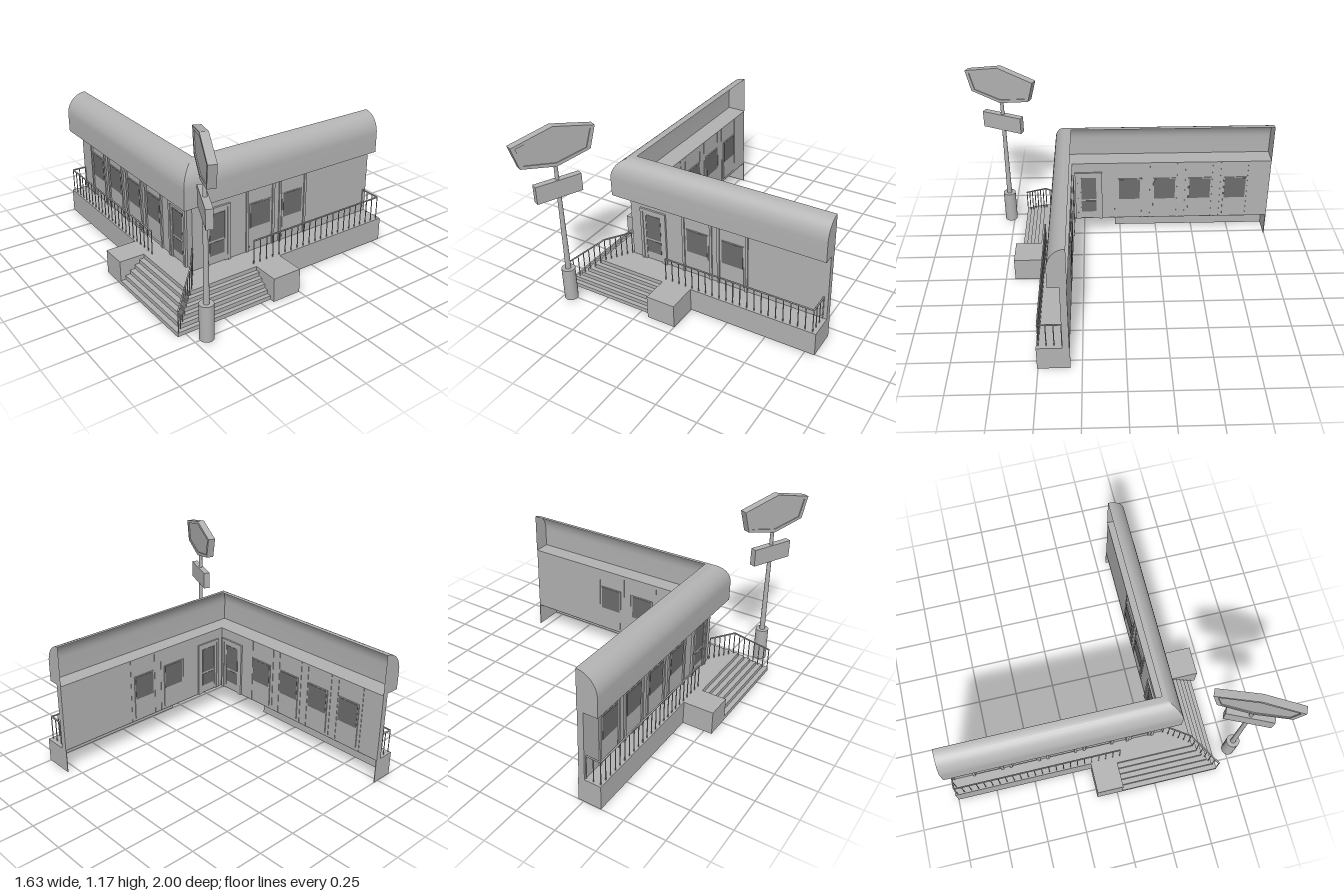
import * as THREE from 'three';
import { toCreasedNormals } from 'three/addons/utils/BufferGeometryUtils.js';

const body = new THREE.MeshStandardMaterial({ color: 0xb2b2b2, side: THREE.DoubleSide });
body.name = 'light grey';
const dark = new THREE.MeshStandardMaterial({ color: 0x6c6c6c, side: THREE.DoubleSide });
dark.name = 'dark glass';

function add(parent, name, geo, mat = body) {
  const m = new THREE.Mesh(geo, mat);
  m.name = name;
  parent.add(m);
  return m;
}

// Box given by its limits; the bottom can be left open
function box(parent, name, x0, x1, y0, y1, z0, z1, mat = body, open = false) {
  const g = new THREE.BoxGeometry(x1 - x0, y1 - y0, z1 - z0);
  if (open) g.setIndex([...g.index.array].filter((_, i) => i < 18 || i > 23));
  g.translate((x0 + x1) / 2, (y0 + y1) / 2, (z0 + z1) / 2);
  return add(parent, name, g, mat);
}

// Round bar between two points
function rod(parent, name, a, b, r) {
  const p = new THREE.Vector3(...a), q = new THREE.Vector3(...b);
  const d = q.clone().sub(p);
  const m = add(parent, name, new THREE.CylinderGeometry(r, r, d.length(), 6));
  m.position.copy(p).add(q).multiplyScalar(0.5);
  m.quaternion.setFromUnitVectors(new THREE.Vector3(0, 1, 0), d.normalize());
}

// Sweep a profile of [x, y, z] corner points along both wings, mitred at the corner
function sweep(parent, name, profile, zEnd, xEnd, capped) {
  const v = [];
  const rows = profile.map(([x, y, z]) => [[x, y, zEnd], [x, y, z], [xEnd, y, z]]);
  for (let i = 0; i + 1 < rows.length; i++) {
    const p = rows[i], q = rows[i + 1];
    for (let k = 0; k < 2; k++) v.push(p[k], p[k + 1], q[k + 1], p[k], q[k + 1], q[k]);
  }
  if (capped) {
    for (let i = 1; i + 1 < rows.length; i++) {
      v.push(rows[0][0], rows[i][0], rows[i + 1][0]);
      v.push(rows[0][2], rows[i + 1][2], rows[i][2]);
    }
  }
  const g = new THREE.BufferGeometry();
  g.setAttribute('position', new THREE.Float32BufferAttribute(v.flat(), 3));
  add(parent, name, toCreasedNormals(g, 0.5));
}

function polygon(pts) {
  return new THREE.Shape(pts.map(([x, y]) => new THREE.Vector2(x, y)));
}

function slab(shape, depth) {
  const g = new THREE.ExtrudeGeometry(shape, { depth, bevelEnabled: false });
  return g.translate(0, 0, -depth / 2);
}

// Surround with two posts and a head, open at the floor
function surround(parent, name, w, y0, y1, t, depth) {
  const a = w / 2, b = a - t;
  add(parent, name, slab(polygon([[-a, y0], [-b, y0], [-b, y1 - t], [b, y1 - t], [b, y0], [a, y0], [a, y1], [-a, y1]]), depth));
}

function windowBay(parent, x, w) {
  const g = new THREE.Group();
  g.name = 'windowBay';
  g.position.x = x;
  parent.add(g);
  for (const s of [-1, 1]) box(g, 'bayPost', s * (w / 2 - 0.008) - 0.008, s * (w / 2 - 0.008) + 0.008, 0.15, 0.58, -0.022, 0.027);
  box(g, 'windowPanel', -0.076, 0.076, 0.17, 0.46, -0.025, 0.022);
  box(g, 'windowGlass', -0.07, 0.07, 0.303, 0.455, -0.027, 0.024, dark);
}

function door(parent, x) {
  const g = new THREE.Group();
  g.name = 'door';
  g.position.x = x;
  parent.add(g);
  surround(g, 'doorSurround', 0.18, 0.15, 0.512, 0.018, 0.062);
  surround(g, 'doorFrame', 0.144, 0.15, 0.494, 0.018, 0.052);
  box(g, 'doorLeaf', -0.054, 0.054, 0.155, 0.476, -0.022, 0.022);
  for (const [a, b] of [[0.205, 0.29], [0.303, 0.47]]) box(g, 'doorGlass', -0.05, 0.05, a, b, -0.024, 0.024, dark);
}

// Handrail along a path with balusters standing on the given floor heights
function railing(parent, path, floors, pitch) {
  const g = new THREE.Group();
  g.name = 'railing';
  parent.add(g);
  for (let i = 0; i + 1 < path.length; i++) {
    const a = new THREE.Vector3(...path[i]), b = new THREE.Vector3(...path[i + 1]);
    rod(g, 'handrail', a.toArray(), b.toArray(), 0.005);
    const n = Math.max(1, Math.round(Math.hypot(b.x - a.x, b.z - a.z) / pitch));
    for (let k = 0; k <= n; k++) {
      const p = a.clone().lerp(b, k / n);
      const f = floors[i] + (floors[i + 1] - floors[i]) * k / n;
      if (p.y - f > 0.02) rod(g, 'baluster', [p.x, f, p.z], p.toArray(), 0.003);
    }
  }
}

export function createModel() {
  const root = new THREE.Group();
  root.name = 'cornerDiner';

  // Curved roof shell, open at the back
  const roof = [[-0.468, 0.58, 0.316], [-0.595, 0.58, 0.422]];
  for (let i = 0; i <= 12; i++) {
    const t = (i / 12) * Math.PI / 2;
    roof.push([-0.468 - 0.127 * Math.cos(t), 0.7 + 0.13 * Math.sin(t), 0.316 + 0.106 * Math.cos(t)]);
  }
  sweep(root, 'roof', roof, -1, 0.81, true);

  // Walls of both wings
  sweep(root, 'walls', [[-0.471, 0.15, 0.319], [-0.508, 0.15, 0.358], [-0.508, 0.58, 0.358],
    [-0.471, 0.58, 0.319], [-0.471, 0.15, 0.319]], -1, 0.81, true);

  // Doors and windows
  const front = new THREE.Group();
  front.name = 'frontWing';
  front.position.z = 0.339;
  const side = new THREE.Group();
  side.name = 'sideWing';
  side.position.x = -0.49;
  side.rotation.y = -Math.PI / 2;
  root.add(front, side);
  door(front, -0.345);
  for (const x of [-0.0375, 0.2025]) windowBay(front, x, 0.205);
  door(side, 0.212);
  for (let i = 0; i < 4; i++) windowBay(side, -0.06 - 0.236 * i, 0.197);

  // Terrace: floor, skirts and end walls, open underneath
  sweep(root, 'terraceFloor', [[-0.61, 0.15, 0.505], [-0.468, 0.15, 0.316]], -1, 0.81, false);
  box(root, 'frontSkirt', -0.185, 0.81, 0, 0.15, 0.501, 0.505);
  box(root, 'sideSkirt', -0.61, -0.606, 0, 0.15, -1, 0.035);
  box(root, 'frontEndWall', 0.806, 0.81, 0, 0.15, 0.316, 0.505);
  box(root, 'sideEndWall', -0.61, -0.468, 0, 0.15, -1, -0.996);
  box(root, 'frontPedestal', -0.185, 0, 0, 0.15, 0.505, 0.69, body, true);
  box(root, 'sidePedestal', -0.8, -0.61, 0, 0.15, -0.13, 0.035, body, true);

  // Corner steps
  const steps = [];
  for (let i = 0; i < 6; i++) {
    const x = -0.8 + 0.0315 * i, z = 0.66 - 0.027 * i;
    steps.push([x, i * 0.025, z], [x, (i + 1) * 0.025, z]);
  }
  steps.push([-0.61, 0.15, 0.505]);
  sweep(root, 'steps', steps, 0.035, -0.185, false);

  // Railings
  railing(root, [[-0.18, 0.3, 0.492], [0.785, 0.3, 0.492], [0.785, 0.3, 0.36]], [0.15, 0.15, 0.15], 0.045);
  railing(root, [[-0.6, 0.3, 0.06], [-0.6, 0.3, -0.985], [-0.51, 0.3, -0.985]], [0.15, 0.15, 0.15], 0.045);
  railing(root, [[-0.515, 0.3, 0.365], [-0.615, 0.3, 0.51], [-0.795, 0.157, 0.66]], [0.15, 0.15, 0.01], 0.036);

  // Roadside sign
  const sign = new THREE.Group();
  sign.name = 'sign';
  sign.position.set(-0.69, 0, 0.77);
  sign.rotation.y = Math.atan2(0.907, 0.42);
  root.add(sign);
  add(sign, 'signBase', new THREE.CylinderGeometry(0.041, 0.041, 0.215, 20).translate(0, 0.1225, 0));
  add(sign, 'signPole', new THREE.CylinderGeometry(0.011, 0.017, 0.72, 14).translate(0, 0.58, 0));
  box(sign, 'lowerSign', -0.14, 0.14, 0.73, 0.84, -0.02, 0.02);
  const hex = [[-0.248, 1.115], [-0.21, 0.978], [0, 0.93], [0.21, 0.978], [0.248, 1.115], [0, 1.175]];
  const inner = hex.map(([x, y]) => [x * 0.89, 1.053 + (y - 1.053) * 0.82]);
  const rim = polygon(hex);
  rim.holes.push(polygon(inner));
  add(sign, 'signRim', slab(rim, 0.046));
  add(sign, 'signPanel', slab(polygon(inner), 0.034));
  return root;
}
